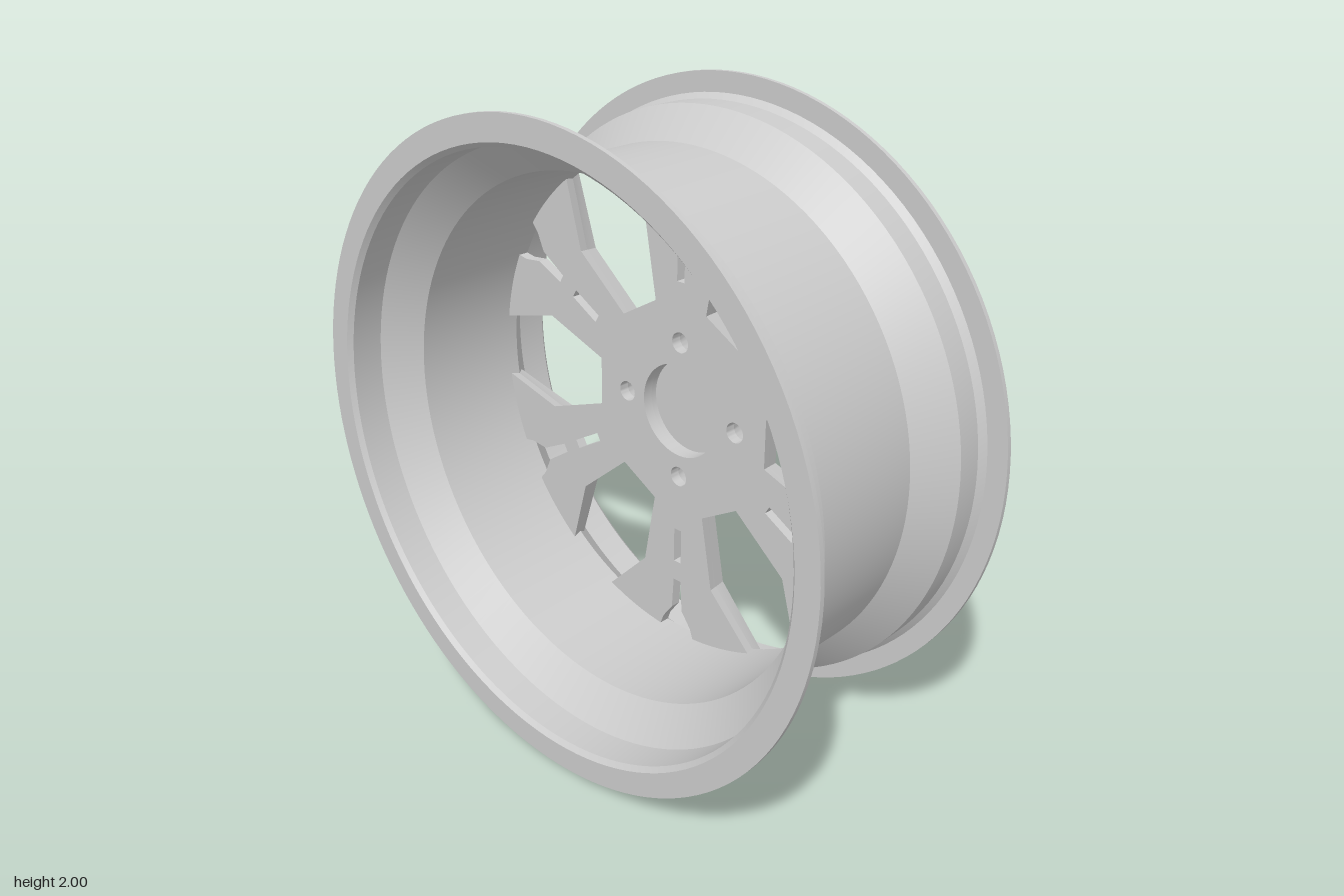
import * as THREE from 'three';
import { toCreasedNormals } from 'three/addons/utils/BufferGeometryUtils.js';

const grey = new THREE.MeshStandardMaterial({ color: 0xcccccc });
const V = (x, y) => new THREE.Vector2(x, y);

function addPart(parent, name, geometry) {
  const mesh = new THREE.Mesh(toCreasedNormals(geometry, 0.5), grey);
  mesh.name = name;
  parent.add(mesh);
  return mesh;
}

// Clockwise circular hole
function circle(x, y, r, n = 32) {
  return Array.from({ length: n }, (_, i) => {
    const a = -i / n * Math.PI * 2;
    return V(x + r * Math.cos(a), y + r * Math.sin(a));
  });
}

// Solid between two matching layers { z, outline, holes }, front layer first
function loft(front, back) {
  const pos = [];
  const ringsF = [front.outline, ...front.holes], ringsB = [back.outline, ...back.holes];
  const put = (p, z) => pos.push(p.x, p.y, z);
  for (const [layer, rings, flip] of [[front, ringsF, false], [back, ringsB, true]]) {
    const all = rings.flat();
    for (const t of THREE.ShapeUtils.triangulateShape(layer.outline, layer.holes)) {
      for (const i of flip ? [t[0], t[2], t[1]] : t) put(all[i], layer.z);
    }
  }
  ringsF.forEach((f, k) => {
    const b = ringsB[k];
    for (let i = 0; i < f.length; i++) {
      const j = (i + 1) % f.length;
      put(f[i], front.z); put(b[i], back.z); put(b[j], back.z);
      put(f[i], front.z); put(b[j], back.z); put(f[j], front.z);
    }
  });
  const g = new THREE.BufferGeometry();
  g.setAttribute('position', new THREE.Float32BufferAttribute(pos, 3));
  g.computeVertexNormals();
  return g;
}

// Turn a point given as (across, along) a spoke to the wheel plane
function onSpoke(u, r, k) {
  const a = Math.PI / 6 + k * Math.PI / 3;
  return V(r * Math.cos(a) + u * Math.sin(a), r * Math.sin(a) - u * Math.cos(a));
}

// Outline of six forked spokes: inset = window bevel, R = end radius,
// inner = fork edge from the rim end inwards, as [across, along]
function spokeOutline(inset, R, endU, inner) {
  const c = Math.cos(Math.PI / 6), s = 0.5;
  const e = 0.105 + inset;
  const half = [
    [0.345 - inset, 0.08 + 0.7 * inset],
    [0.58, 0.165 + inset],
    [Math.sqrt(R * R - e * e), e],
  ].map(([a, b]) => [a * s - b * c, a * c + b * s]);
  const a0 = Math.atan2(half[2][0], half[2][1]), a1 = Math.asin(endU / R);
  for (let i = 1; i <= 4; i++) {
    const a = a0 + (a1 - a0) * i / 4;
    half.push([R * Math.sin(a), R * Math.cos(a)]);
  }
  half.push(...inner);
  const full = [...half, ...half.slice().reverse().map(([u, r]) => [-u, r])];
  const out = [];
  for (let k = 0; k < 6; k++) for (const [u, r] of full) out.push(onSpoke(u, r, k));
  return out;
}

function hubHoles(boltRadius) {
  const holes = [circle(0, 0, 0.153, 64)];
  for (let k = 0; k < 4; k++) {
    const a = k * Math.PI / 2;
    holes.push(circle(0.227 * Math.cos(a), 0.227 * Math.sin(a), boltRadius));
  }
  return holes;
}

export function createModel() {
  const wheel = new THREE.Group();
  wheel.name = 'wheel';
  const axle = new THREE.Group();
  axle.name = 'wheelBody';
  axle.position.y = 1;
  wheel.add(axle);

  // Rim: closed symmetric profile, outside going up and inside going down
  const outer = [[0.825, 0.2], [0.92, 0.3], [0.92, 0.385], [0.937, 0.405], [1, 0.405], [1, 0.42]];
  const inner = [[0.922, 0.42], [0.908, 0.405], [0.908, 0.3], [0.81, 0.2]];
  const side = [...outer, ...inner];
  const profile = [
    ...outer, ...inner,
    ...side.slice().reverse().map(([r, z]) => [r, -z]),
    outer[0],
  ].map(([r, z]) => V(r, z));
  addPart(axle, 'rim', new THREE.LatheGeometry(profile, 128).rotateX(Math.PI / 2));

  // Back plate of the spokes with a closed slot in each fork
  const slots = [];
  for (let k = 0; k < 6; k++) {
    slots.push([[-0.015, 0.42], [-0.015, 0.54], [0.015, 0.54], [0.015, 0.42]]
      .map(([u, r]) => onSpoke(u, r, k)));
  }
  const fork = [[0.06, 0.772], [0.022, 0.72], [0.015, 0.61]];
  const plate = (z, inset) => ({
    z, outline: spokeOutline(inset, 0.817, 0.075, fork), holes: [...hubHoles(0.033), ...slots],
  });
  addPart(axle, 'spokePlate', loft(plate(-0.165, 0), plate(-0.2, 0.01)));

  // Raised ridges and hub face, bevelled, ending on the slope of the rim
  const ridge = (z, inset, R, bolt, w) => ({
    z,
    outline: spokeOutline(inset, R, 0.18 + w,
      [[0.06 + w, 0.62], [0.028 + w, 0.45], [0.01 + w / 2, 0.3 - w / 2]]),
    holes: hubHoles(bolt),
  });
  addPart(axle, 'spokeRidges', loft(ridge(-0.2, 0.01, 0.817, 0.033, 0), ridge(-0.25, 0.025, 0.862, 0.046, 0.012)));

  // Plain centre cap
  const cap = addPart(axle, 'centreCap', new THREE.CylinderGeometry(0.153, 0.153, 0.03, 64).rotateX(Math.PI / 2));
  cap.position.z = -0.235;

  return wheel;
}
